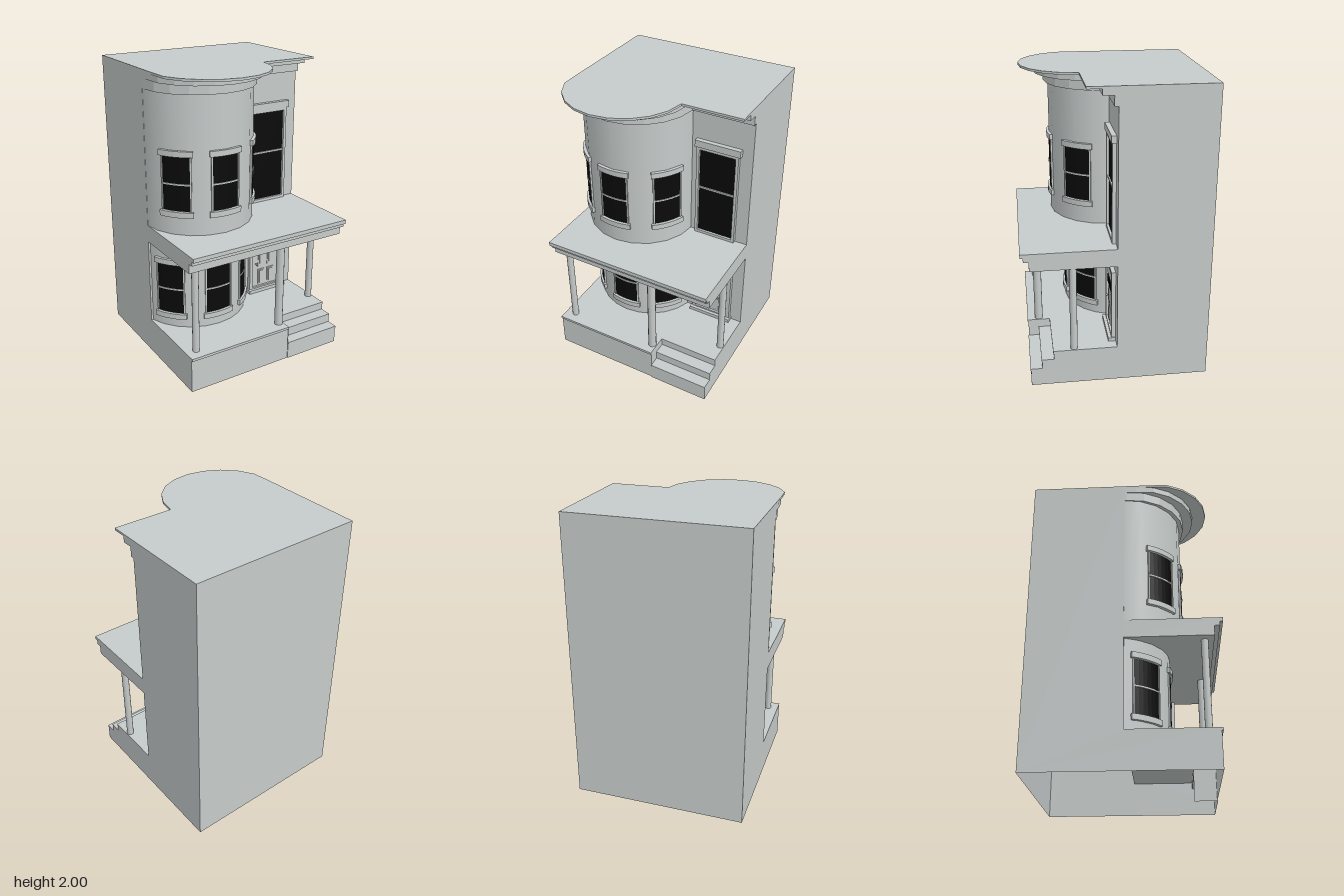
import * as THREE from 'three';

const stone = new THREE.MeshStandardMaterial({ color: 0xc6cccb, side: THREE.DoubleSide });
stone.name = 'pale grey stone';
const dark = new THREE.MeshStandardMaterial({ color: 0x0a0a0a });
dark.name = 'black glass';

const W = 0.59, BACK = -0.615, FLOOR = 0.25, BAY_X = -0.21, BAY_R = 0.38;

export function createModel() {
  const model = new THREE.Group();
  model.name = 'rowHouse';

  const add = (name, geo, mat = stone, parent = model) => {
    const m = new THREE.Mesh(geo, mat);
    m.name = name;
    parent.add(m);
    return m;
  };
  // box given by its limits
  const box = (name, x0, x1, y0, y1, z0, z1, mat = stone, parent = model) =>
    add(name, new THREE.BoxGeometry(x1 - x0, y1 - y0, z1 - z0)
      .translate((x0 + x1) / 2, (y0 + y1) / 2, (z0 + z1) / 2), mat, parent);
  // upright sheet facing z, and level sheet facing up
  const wall = (name, x0, x1, y0, y1, z) =>
    add(name, new THREE.PlaneGeometry(x1 - x0, y1 - y0).translate((x0 + x1) / 2, (y0 + y1) / 2, z));
  const level = (name, x0, x1, z0, z1, y) =>
    add(name, new THREE.PlaneGeometry(x1 - x0, z1 - z0).rotateX(-Math.PI / 2)
      .translate((x0 + x1) / 2, y, (z0 + z1) / 2));
  const shapeOf = pts => new THREE.Shape(pts.map(p => new THREE.Vector2(p[0], p[1])));
  // sheet in the z-y plane
  const sideSheet = (name, pts, x) =>
    add(name, new THREE.ShapeGeometry(shapeOf(pts)).rotateY(-Math.PI / 2).translate(x, 0, 0));
  // plan outline of [x, z] points raised from y0 to y1
  const raise = (pts, y0, y1) =>
    new THREE.ExtrudeGeometry(shapeOf(pts.map(([x, z]) => [x, -z])), { depth: y1 - y0, bevelEnabled: false })
      .rotateX(-Math.PI / 2).translate(0, y0, 0);
  const arc = (r, a0, a1, n, cz) => Array.from({ length: n + 1 }, (_, i) => {
    const a = a0 + (a1 - a0) * i / n;
    return [BAY_X + r * Math.sin(a), cz + r * Math.cos(a)];
  });

  // house shell, open underneath
  wall('backWall', -W, W, 0, 2, BACK).rotation.y = 0;
  wall('frontWall', -W, W, FLOOR, 2, 0);
  level('roof', -W, W, BACK, 0, 2);
  const S = [[0.575, 0.125], [0.5, 0.19], [0.42, FLOOR]]; // step front z, top y
  sideSheet('rightWall', [[BACK, 0], [0.57, 0], [0.57, FLOOR], [0, FLOOR], [0, 2], [BACK, 2]], -W);
  sideSheet('leftWall', [[BACK, 0], [S[0][0], 0], S[0], [S[1][0], S[0][1]], S[1],
    [S[2][0], S[1][1]], S[2], [0, FLOOR], [0, 2], [BACK, 2]], W);

  // porch base, floor and steps
  wall('porchFront', -W, 0.17, 0, 0.232, 0.57);
  sideSheet('stepCheek', [[0.42, 0], [0.575, 0], [0.575, FLOOR], [0.42, FLOOR]], 0.17);
  add('porchFloor', raise([[-W, 0], [-W, 0.58], [0.17, 0.58], [0.17, 0.425], [W, 0.425], [W, 0]], 0.232, FLOOR));
  S.forEach(([z, y], i) => {
    wall('riser', 0.17, W, i ? S[i - 1][1] : 0, y, z);
    if (i < 2) {
      level('tread', 0.17, W, S[i + 1][0], z, y);
      box('nosing', 0.17, W, y - 0.012, y, z - 0.01, z + 0.004);
    }
  });

  // porch roof with a stepped edge
  const eave = [[0, 0.845], [0.56, 0.845], [0.56, 0.91], [0.595, 0.91], [0.595, 0.938],
    [0.615, 0.938], [0.615, 0.965], [0, 0.965]];
  add('porchRoof', new THREE.ExtrudeGeometry(shapeOf(eave), { depth: 2 * W, bevelEnabled: false })
    .rotateY(-Math.PI / 2).translate(W, 0, 0));

  // porch columns
  for (const [x, z, r] of [[-0.517, 0.5, 0.023], [0.137, 0.5, 0.028], [0.562, 0.285, 0.024]]) {
    add('porchColumn', new THREE.CylinderGeometry(r, r, 0.595, 12).translate(x, 0.5475, z));
  }

  // curved bay, set further back under the porch
  const bay = (name, cz, half, y0, y1) => add(name,
    new THREE.CylinderGeometry(BAY_R, BAY_R, y1 - y0, 10, 1, true, -half, 2 * half)
      .translate(BAY_X, (y0 + y1) / 2, cz));
  const LOW_Z = -0.1, HIGH_Z = -0.01;
  bay('lowerBay', LOW_Z, Math.acos(0.1 / BAY_R), FLOOR, 0.85);
  bay('upperBay', HIGH_Z, Math.PI / 2, 0.96, 1.9);

  // cornice tiers following the bay and the flat wall
  for (const [r, cz, front, y0, y1] of [[0.385, 0.015, 0.025, 1.88, 1.945],
    [0.39, 0.08, 0.095, 1.945, 1.985], [0.395, 0.17, 0.19, 1.985, 2]]) {
    const end = Math.acos((front - cz) / r);
    const curve = arc(r, -Math.PI / 2, end, 10, cz).map(([x, z]) => [Math.max(x, -W), z]);
    add('cornice', raise([[-W, 0], ...curve, [W, front], [W, 0]], y0, y1));
  }

  // curved bay windows
  const bayWindow = (deg, cz, y0, y1) => {
    const g = new THREE.Group();
    g.name = 'bayWindow';
    model.add(g);
    const c = deg * Math.PI / 180;
    const slab = (name, a0, a1, ya, yb, r, mat = stone) => add(name, raise(
      [...arc(r, c + a0, c + a1, 6, cz), ...arc(BAY_R - 0.012, c + a1, c + a0, 6, cz)], ya, yb), mat, g);
    const h = 0.24, t = 0.026, m = (y0 + y1) / 2;
    slab('glass', -h, h, y0, y1, BAY_R + 0.003, dark);
    for (const s of [-1, 1]) {
      slab('jamb', Math.min(s * h, s * (h + t)), Math.max(s * h, s * (h + t)), y0, y1, BAY_R + 0.01);
    }
    slab('sashBar', -h, h, m - 0.005, m + 0.005, BAY_R + 0.008);
    slab('lintel', -0.295, 0.295, y1 + 0.004, y1 + 0.042, BAY_R + 0.018);
    slab('sill', -0.295, 0.295, y0 - 0.042, y0 - 0.004, BAY_R + 0.018);
  };
  for (const a of [-49, 0, 55]) bayWindow(a, HIGH_Z, 1.13, 1.485);
  for (const a of [-51, 0, 46]) bayWindow(a, LOW_Z, 0.357, 0.713);

  // rectangular border of four bars
  const border = (name, x0, x1, y0, y1, t, z1) => {
    box(name, x0, x0 + t, y0, y1, 0, z1);
    box(name, x1 - t, x1, y0, y1, 0, z1);
    box(name, x0 + t, x1 - t, y1 - t, y1, 0, z1);
    box(name, x0 + t, x1 - t, y0, y0 + t, 0, z1);
  };

  // tall window above the porch roof
  box('tallGlass', 0.225, 0.488, 0.975, 1.615, 0.001, 0.009, dark);
  border('tallWindowFrame', 0.21, 0.503, 0.965, 1.635, 0.02, 0.025);
  box('tallSashBar', 0.228, 0.485, 1.322, 1.335, 0, 0.018);
  box('tallLintel', 0.2, 0.517, 1.635, 1.682, 0, 0.032);

  // front door
  border('doorFrame', 0.212, 0.506, 0.26, 0.76, 0.026, 0.028);
  box('threshold', 0.2, 0.515, FLOOR, 0.275, 0, 0.05);
  box('doorLeaf', 0.238, 0.48, 0.275, 0.735, 0, 0.012);
  box('doorTopPanel', 0.266, 0.455, 0.65, 0.732, 0.01, 0.022);
  box('doorLightFrame', 0.258, 0.466, 0.568, 0.644, 0.01, 0.018);
  for (let i = 0; i < 5; i++) {
    const x = 0.282 + i * 0.04;
    box('doorPane', x - 0.014, x + 0.014, 0.576, 0.636, 0.014, 0.021, dark);
  }
  for (const x of [0.292, 0.374]) {
    for (const y of [0.302, 0.445]) {
      box('doorPanel', x, x + 0.055, y, y + 0.118, 0.01, 0.018);
      box('doorPanelField', x + 0.01, x + 0.045, y + 0.01, y + 0.108, 0.016, 0.024);
    }
  }
  add('doorKnob', new THREE.SphereGeometry(0.008, 10, 8).translate(0.272, 0.47, 0.03));
  box('knobStem', 0.269, 0.275, 0.467, 0.473, 0.01, 0.028);

  return model;
}
